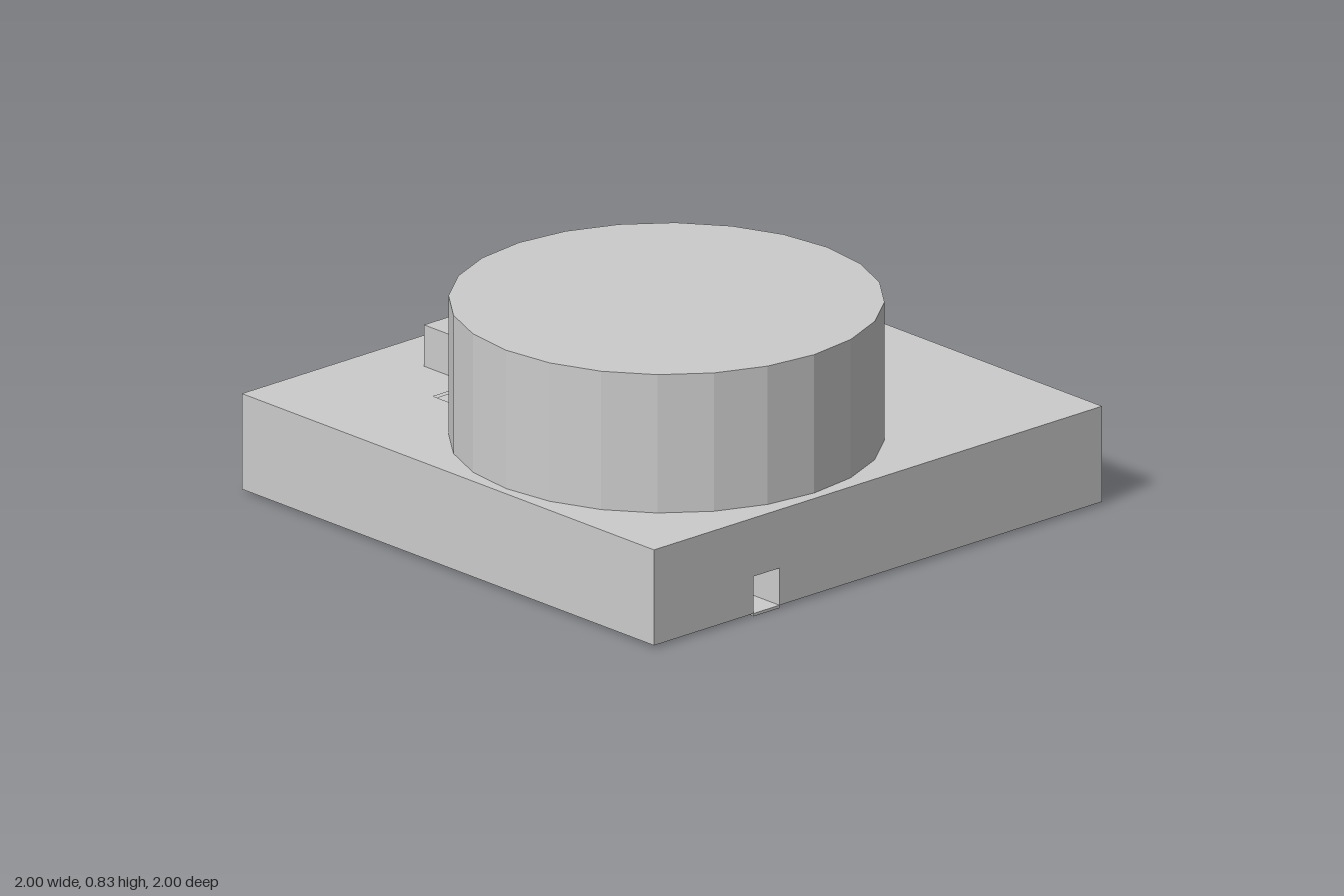
import * as THREE from 'three';

const OUT = 0.555, INN = 0.44;   // outer and inner limits of the ramp lane
const BOTTOM = 0.01, TOP = 0.345, CEILING = 0.335;

export function createModel() {
  const model = new THREE.Group();
  const material = new THREE.MeshStandardMaterial({ color: 0xcccccc, flatShading: true });

  const add = (name, geometry, parent = model) => {
    const mesh = new THREE.Mesh(geometry, material);
    mesh.name = name;
    parent.add(mesh);
    return mesh;
  };
  const box = (name, x0, x1, y0, y1, z0, z1, parent) => add(name,
    new THREE.BoxGeometry(x1 - x0, y1 - y0, z1 - z0)
      .translate((x0 + x1) / 2, (y0 + y1) / 2, (z0 + z1) / 2), parent);

  // Horizontal slab from an [x, z] outline and an optional hole
  const toPoints = (list) => list.map(([x, z]) => new THREE.Vector2(x, -z));
  const slab = (name, outline, hole, y0, y1) => {
    const shape = new THREE.Shape(toPoints(outline));
    if (hole) shape.holes.push(new THREE.Path(toPoints(hole)));
    const geometry = new THREE.ExtrudeGeometry(shape, { depth: y1 - y0, bevelEnabled: false });
    add(name, geometry.rotateX(-Math.PI / 2).translate(0, y0, 0));
  };
  const rect = (x0, x1, z0, z1) => [[x0, z0], [x1, z0], [x1, z1], [x0, z1]];
  const square = rect(-1, 1, -1, 1);

  // Hollow base: lower walls with the exit slot, upper walls, lid with the drop hole
  slab('baseLowerWalls', [
    [-OUT, 1], [-1, 1], [-1, -1], [1, -1], [1, 1], [-INN, 1],
    [-INN, OUT], [OUT, OUT], [OUT, -OUT], [-OUT, -OUT],
  ], null, BOTTOM, 0.14);
  slab('baseUpperWalls', square, rect(-OUT, OUT, -OUT, OUT), 0.14, CEILING);
  slab('baseLid', square, rect(-OUT, -INN, -OUT, -INN), CEILING, TOP);

  // Ramp winding down the four inner walls, with a low curb on its inner edge
  const start = 0.325, drop = start / 4;
  const slope = (geometry, y) => {
    const p = geometry.attributes.position;
    for (let i = 0; i < p.count; i++) {
      const t = (p.getX(i) + INN) / (2 * INN);
      p.setY(i, Math.min(p.getY(i) + y - drop * t, CEILING + 0.002));
    }
    geometry.computeVertexNormals();
    return geometry;
  };
  for (let k = 0; k < 4; k++) {
    const y = start - k * drop;
    const side = new THREE.Group();
    side.name = 'rampSide' + (k + 1);
    side.rotation.y = (1 - k) * Math.PI / 2;
    const floor = new THREE.BoxGeometry(2 * INN, 0.01, OUT - INN)
      .translate(0, 0.005, -(OUT + INN) / 2);
    add('rampFloor', slope(floor, y), side);
    const curb = new THREE.BoxGeometry(2 * INN, 0.07, 0.01, 40, 1, 1)
      .translate(0, 0.035, -INN - 0.005);
    add('rampCurb', slope(curb, y), side);
    if (k < 3) box('rampLanding', INN, OUT, y - drop, y - drop + 0.01, -OUT, -INN, side);
    model.add(side);
  }
  box('exitFloor', -OUT, -INN, 0, 0.01, INN, 1);

  // Round drum
  add('drum', new THREE.CylinderGeometry(0.717, 0.717, 0.83 - TOP, 24)
    .translate(-0.25, (0.83 + TOP) / 2, 0.245));

  // Handle behind the drum: stem with a small cross hole, and a wider grip
  const stem = new THREE.Shape(toPoints([
    [0.44, -TOP], [0.505, -TOP], [0.505, -0.4], [0.53, -0.4], [0.53, -TOP],
    [0.61, -TOP], [0.61, -0.48], [0.44, -0.48],
  ]));
  add('handleStem', new THREE.ExtrudeGeometry(stem, { depth: 0.135, bevelEnabled: false })
    .rotateY(Math.PI / 2).translate(-0.315, 0, 0));
  box('handleGrip', -0.385, -0.115, TOP, 0.49, -0.785, -0.608);

  return model;
}
